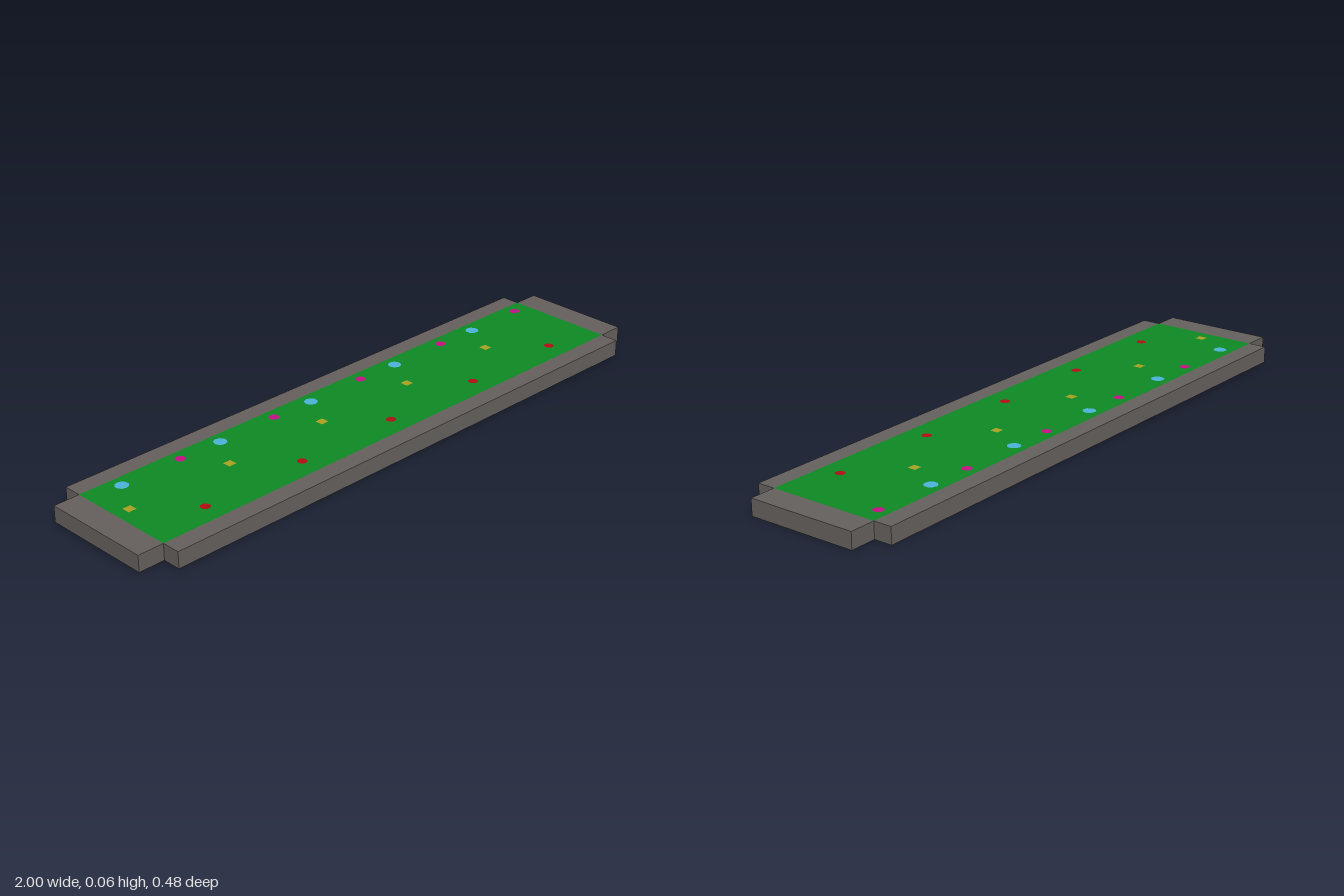
import * as THREE from 'three';

const material = (name, color) =>
  new THREE.MeshStandardMaterial({ name, color, side: THREE.DoubleSide });

const HEIGHT = 0.0525, INNER_X = 0.915, INNER_Z = 0.18, OUTER_X = 1, OUTER_Z = 0.239;

export function createModel() {
  const model = new THREE.Group();
  model.name = 'flowerBed';
  const stone = material('stone grey', 0x645f5c);
  const grass = material('grass green', 0x0e8824);
  const blue = material('flower blue', 0x4ab2d8);
  const magenta = material('flower magenta', 0xc01282);
  const yellow = material('flower yellow', 0xa8a021);
  const red = material('flower red', 0xb00c12);

  // The whole tray slopes gently down towards +x
  const add = (name, geometry, mat) => {
    const p = geometry.attributes.position;
    for (let i = 0; i < p.count; i++) p.setY(i, p.getY(i) + 0.0037 * (1 - p.getX(i)));
    geometry.computeVertexNormals();
    const mesh = new THREE.Mesh(geometry, mat);
    mesh.name = name;
    model.add(mesh);
  };
  const flat = (geometry, x, y, z) => geometry.rotateX(-Math.PI / 2).translate(x, y, z);

  // Grass bed
  add('grass', flat(new THREE.PlaneGeometry(2 * INNER_X, 2 * INNER_Z), 0, HEIGHT, 0), grass);

  // Kerb top: two end strips and two side strips
  for (const s of [-1, 1]) {
    add('endKerb', flat(new THREE.PlaneGeometry(OUTER_X - INNER_X, 2 * INNER_Z),
      s * (OUTER_X + INNER_X) / 2, HEIGHT, 0), stone);
    add('sideKerb', flat(new THREE.PlaneGeometry(2 * INNER_X, OUTER_Z - INNER_Z),
      0, HEIGHT, s * (OUTER_Z + INNER_Z) / 2), stone);
  }

  // Outer walls round the notched outline, open underneath
  for (const s of [-1, 1]) {
    const wall = (name, width, turn, x, z) => add(name,
      new THREE.PlaneGeometry(width, HEIGHT).rotateY(turn).translate(x, HEIGHT / 2, z), stone);
    const outZ = s > 0 ? 0 : Math.PI, outX = s * Math.PI / 2;
    wall('sideWall', 2 * INNER_X, outZ, 0, s * OUTER_Z);
    wall('endWall', 2 * INNER_Z, outX, s * OUTER_X, 0);
    for (const t of [-1, 1]) {
      wall('notchWall', OUTER_X - INNER_X, outZ, t * (OUTER_X + INNER_X) / 2, s * INNER_Z);
      wall('notchWall', OUTER_Z - INNER_Z, outX, s * INNER_X, t * (OUTER_Z + INNER_Z) / 2);
    }
  }

  // Rows of five flat flowers: name, material, first x, z, radius, sides
  const rows = [
    ['blueFlower', blue, -0.8, -0.138, 0.021, 10],
    ['magentaFlower', magenta, -0.587, -0.141, 0.017, 8],
    ['yellowFlower', yellow, -0.866, -0.022, 0.019, 4],
    ['redFlower', red, -0.712, 0.112, 0.016, 8],
  ];
  for (const [name, mat, x, z, radius, sides] of rows)
    for (let i = 0; i < 5; i++)
      add(name, flat(new THREE.CircleGeometry(radius, sides, Math.PI / sides),
        x + i * 0.3605, HEIGHT + 0.0006, z), mat);

  return model;
}
